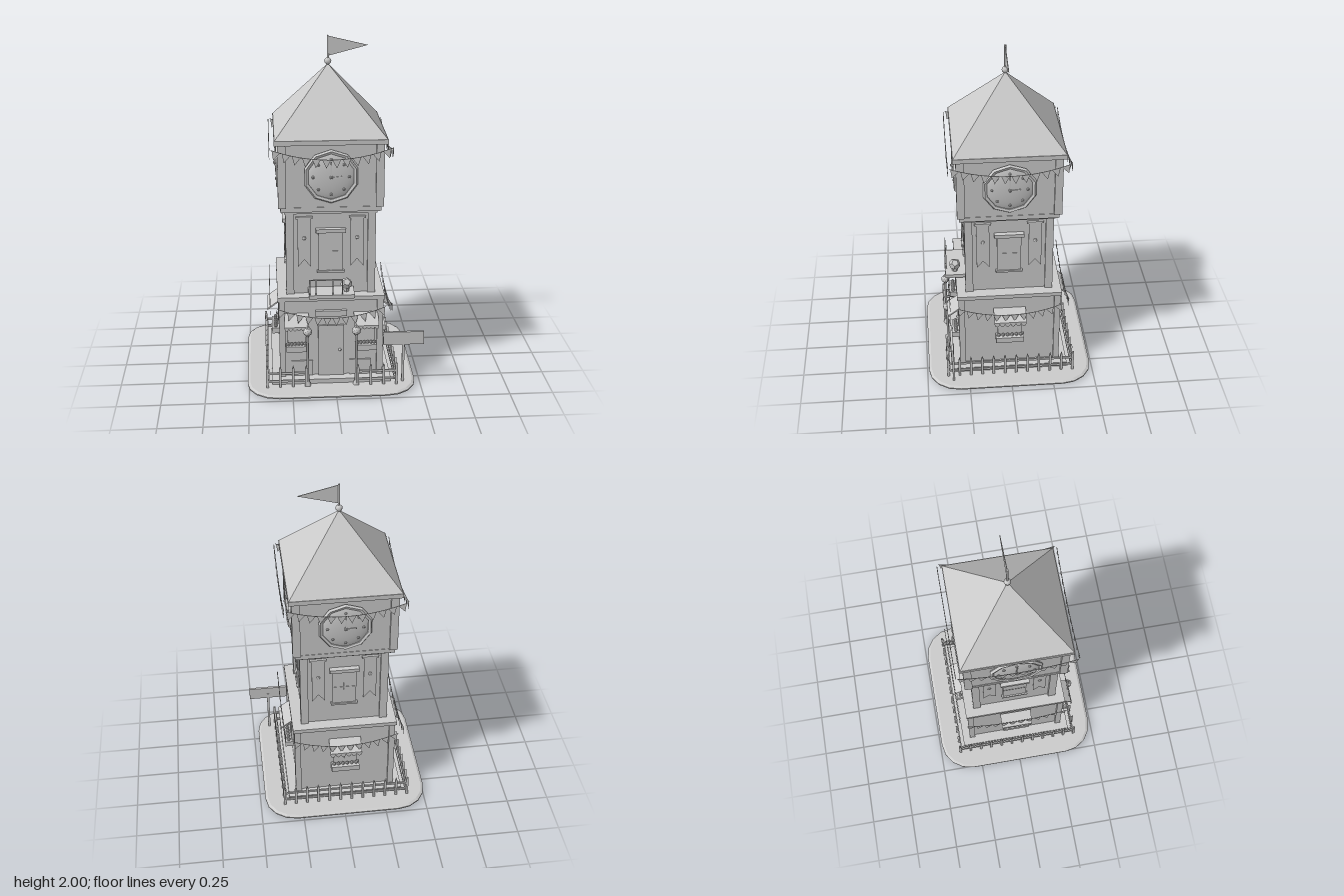
import * as THREE from 'three';

const stone = new THREE.MeshStandardMaterial({ color: 0xcccccc, side: THREE.DoubleSide });
stone.name = 'pale grey';

// Faceted copy of a geometry
function flat(geo) {
  const g = geo.index ? geo.toNonIndexed() : geo;
  g.computeVertexNormals();
  return g;
}
function add(parent, name, geo, x = 0, y = 0, z = 0) {
  const m = new THREE.Mesh(geo, stone);
  m.name = name;
  m.position.set(x, y, z);
  parent.add(m);
  return m;
}
// Box given by its bottom height y0 and top height y1
function box(parent, name, w, y0, y1, d, x = 0, z = 0) {
  return add(parent, name, new THREE.BoxGeometry(w, y1 - y0, d), x, (y0 + y1) / 2, z);
}
function group(parent, name) {
  const g = new THREE.Group();
  g.name = name;
  parent.add(g);
  return g;
}
function plate(points, depth = 0.004) {
  const s = new THREE.Shape(points.map(([x, y]) => new THREE.Vector2(x, y)));
  return new THREE.ExtrudeGeometry(s, { depth, bevelEnabled: false });
}

// One storey: core, corner posts
function storey(parent, name, half, post, y0, y1) {
  const g = group(parent, name);
  const core = 2 * half - 0.03;
  box(g, 'walls', core, y0, y1, core);
  for (const sx of [-1, 1]) for (const sz of [-1, 1])
    box(g, 'cornerPost', post, y0, y1, post, sx * (half - post / 2), sz * (half - post / 2));
  return g;
}

// Sagging string of triangular pennants
function bunting(parent, half, yEnd, sag, z, n) {
  const g = group(parent, 'bunting');
  const at = t => new THREE.Vector3(t * half, yEnd - sag * (1 - t * t), z);
  const pts = [];
  for (let i = 0; i <= 8; i++) pts.push(at(-1 + i / 4));
  add(g, 'string', new THREE.TubeGeometry(new THREE.CatmullRomCurve3(pts), 16, 0.002, 4));
  const w = half / n * 0.85;
  const tri = plate([[-w, 0], [0, -0.048], [w, 0]], 0.002);
  for (let i = 0; i < n; i++) {
    const t = -1 + (2 * i + 1) / n, p = at(t);
    add(g, 'pennant', tri, p.x, p.y, p.z).rotation.z = Math.atan(2 * sag * t / half);
  }
}

// Ground-floor window with awning and flower box
function shopWindow(parent, x, w) {
  const g = group(parent, 'shopWindow');
  g.position.set(x, 0, 0.29);
  box(g, 'windowPane', w * 0.75, 0.23, 0.42, 0.012, 0, 0.004);
  box(g, 'windowBar', 0.008, 0.25, 0.42, 0.018, 0, 0.004);
  box(g, 'flowerBox', w * 0.88, 0.225, 0.26, 0.05, 0, 0.025);
  for (let i = 0; i < 6; i++)
    add(g, 'flower', flat(new THREE.IcosahedronGeometry(0.012, 0)), (i - 2.5) * w * 0.14, 0.268, 0.028);
  const roof = plate([[0, 0.45], [0.075, 0.395], [0.075, 0.385], [0, 0.44]], w);
  add(g, 'awning', roof, w / 2, 0, 0).rotation.y = -Math.PI / 2;
  const scallop = new THREE.CircleGeometry(w / 12, 6, Math.PI, Math.PI);
  for (let i = 0; i < 6; i++)
    add(g, 'awningScallop', scallop, (i - 2.5) * w / 6, 0.39, 0.074).scale.y = 1.6;
}

// First-floor window and two hanging banners
function upperWall(parent) {
  const z = 0.24;
  box(parent, 'windowPane', 0.14, 0.69, 0.93, 0.016, 0, z + 0.004);
  box(parent, 'windowLintel', 0.17, 0.93, 0.952, 0.035, 0, z + 0.012);
  box(parent, 'windowSill', 0.155, 0.685, 0.697, 0.024, 0, z + 0.008);
  box(parent, 'windowBar', 0.006, 0.69, 0.93, 0.02, 0, z + 0.004);
  box(parent, 'windowBar', 0.14, 0.81, 0.816, 0.02, 0, z + 0.004);
  const cloth = plate([[-0.037, 1.015], [-0.037, 0.72], [0, 0.765], [0.037, 0.72], [0.037, 1.015]]);
  for (const s of [-1, 1]) {
    add(parent, 'banner', cloth, s * 0.15, 0, z + 0.006);
    box(parent, 'bannerRod', 0.095, 1.012, 1.024, 0.014, s * 0.15, z + 0.008);
    add(parent, 'bannerStud', flat(new THREE.IcosahedronGeometry(0.012, 0)), s * 0.15, 0.895, z + 0.01).scale.z = 0.6;
  }
}

// Domed clock face with faceted rim
function clock(parent) {
  const g = group(parent, 'clock');
  g.position.set(0, 1.27, 0.28);
  const dome = new THREE.SphereGeometry(0.14, 20, 8, 0, Math.PI * 2, 0, Math.PI / 2).rotateX(Math.PI / 2);
  add(g, 'clockFace', dome.scale(1, 1, 0.18));
  add(g, 'clockRim', flat(new THREE.TorusGeometry(0.142, 0.013, 5, 10)), 0, 0, 0.008).rotation.z = Math.PI / 10;
  for (let i = 0; i < 8; i++) {
    const a = i * Math.PI / 4;
    add(g, 'hourMark', flat(new THREE.IcosahedronGeometry(0.009, 0)), 0.1 * Math.cos(a), 0.1 * Math.sin(a), 0.018);
  }
  add(g, 'clockHub', flat(new THREE.IcosahedronGeometry(0.011, 0)), 0, 0, 0.026);
  box(g, 'minuteHand', 0.008, 0, 0.09, 0.004, 0, 0.027);
  const hour = box(g, 'hourHand', 0.06, -0.004, 0.004, 0.004, 0.03, 0.027);
  hour.rotation.z = 0.1;
}

// Picket fence run from x0 to x1 along the local front
function fence(parent, x0, x1, n) {
  const g = group(parent, 'fence');
  const z = 0.375, w = 0.007;
  for (const y of [0.05, 0.1]) box(g, 'fenceRail', x1 - x0, y, y + 0.013, 0.008, (x0 + x1) / 2, z - 0.008);
  const picket = plate([[-w, 0.02], [w, 0.02], [w, 0.135], [0, 0.158], [-w, 0.135]], 0.012);
  for (let i = 0; i < n; i++) add(g, 'picket', picket, x0 + (x1 - x0) * i / (n - 1), 0, z - 0.006);
}

export function createModel() {
  const model = new THREE.Group();
  const tower = group(model, 'tower');
  tower.position.x = -0.02;

  // Rounded ground slab
  const h = 0.475, r = 0.17, s = new THREE.Shape();
  for (let k = 0; k < 4; k++) for (let i = 0; i <= 4; i++) {
    const a = (k + i / 4) * Math.PI / 2, c = k * Math.PI / 2 + Math.PI / 4;
    const q = (h - r) * Math.SQRT2;
    const x = q * Math.cos(c) + r * Math.cos(a), y = q * Math.sin(c) + r * Math.sin(a);
    if (k + i === 0) s.moveTo(x, y); else s.lineTo(x, y);
  }
  const slab = new THREE.ExtrudeGeometry(s, { depth: 0.007, bevelThickness: 0.008, bevelSize: 0.015, bevelSegments: 1 });
  add(tower, 'ground', slab, 0, 0.008, 0).rotation.x = -Math.PI / 2;
  tower.getObjectByName('ground').position.y = 0.008;

  // Storeys and cornices
  storey(tower, 'groundFloor', 0.3, 0.035, 0.02, 0.53);
  box(tower, 'plinth', 0.69, 0.02, 0.05, 0.69);
  box(tower, 'lowerCornice', 0.615, 0.53, 0.555, 0.615);
  storey(tower, 'middleFloor', 0.255, 0.045, 0.555, 1.06);
  box(tower, 'middleCornice', 0.525, 1.045, 1.062, 0.525);
  box(tower, 'upperCornice', 0.565, 1.062, 1.09, 0.565);
  storey(tower, 'clockFloor', 0.295, 0.045, 1.09, 1.455);
  box(tower, 'eaves', 0.625, 1.455, 1.482, 0.625);

  // Pyramid roof, finial, flag
  const roof = new THREE.ConeGeometry(0.31 * Math.SQRT2, 0.36, 4).rotateY(Math.PI / 4);
  add(tower, 'roof', flat(roof), 0, 1.662, 0);
  add(tower, 'finial', new THREE.SphereGeometry(0.02, 8, 6), 0, 1.855, 0);
  add(tower, 'flagPole', new THREE.CylinderGeometry(0.006, 0.006, 0.15, 6), 0, 1.925, 0);
  add(tower, 'flag', plate([[0, 1.995], [0, 1.885], [0.22, 1.942]]), 0.004, 0, -0.002);

  // Details repeated on every side
  for (let k = 0; k < 4; k++) {
    const side = group(tower, ['front', 'left', 'back', 'right'][k] + 'Side');
    side.rotation.y = k * Math.PI / 2;
    clock(side);
    upperWall(side);
    bunting(side, 0.33, 1.44, 0.06, 0.338, 12);
    bunting(side, 0.31, 0.505, 0.065, 0.35, 12);
    if (k > 0) {
      shopWindow(side, 0, 0.19);
      fence(side, -0.375, 0.375, 12);
    } else {
      for (const sx of [-1, 1]) {
        shopWindow(side, sx * 0.2, 0.14);
        fence(side, sx < 0 ? -0.375 : 0.15, sx < 0 ? -0.15 : 0.375, 4);
      }
    }
  }

  // Front door
  box(tower, 'door', 0.15, 0.05, 0.37, 0.02, 0, 0.287);
  box(tower, 'doorLintel', 0.18, 0.43, 0.465, 0.025, 0, 0.292);
  for (const sx of [-1, 1]) box(tower, 'doorPanel', 0.125, 0.05, 0.145, 0.01, sx * 0.17, 0.288);
  add(tower, 'doorKnob', new THREE.SphereGeometry(0.009, 8, 6), 0.05, 0.215, 0.302);

  // Street lamps
  for (const sx of [-1, 1]) {
    const lamp = group(tower, 'lamp');
    lamp.position.set(sx * 0.14, 0, 0.365);
    const profile = [[0.018, 0.02], [0.018, 0.035], [0.008, 0.05], [0.006, 0.33], [0.016, 0.35]];
    add(lamp, 'lampPost', new THREE.LatheGeometry(profile.map(p => new THREE.Vector2(...p)), 8));
    add(lamp, 'lampGlobe', flat(new THREE.IcosahedronGeometry(0.026, 1)), 0, 0.367, 0);
    add(lamp, 'lampCap', flat(new THREE.ConeGeometry(0.014, 0.02, 6)), 0, 0.398, 0);
  }

  // Balcony with thin railing and a potted bush
  box(tower, 'balcony', 0.26, 0.57, 0.592, 0.125, 0, 0.305);
  for (const x of [-0.125, -0.09, 0.005, 0.06]) box(tower, 'railingPost', 0.006, 0.59, 0.685, 0.005, x, 0.36);
  box(tower, 'railingTop', 0.19, 0.68, 0.686, 0.005, -0.032, 0.36);
  const bush = add(tower, 'bush', flat(new THREE.DodecahedronGeometry(0.034, 0)), 0.085, 0.638, 0.31);
  bush.rotation.set(0.3, 0.4, 0.2);
  add(tower, 'bushPot', flat(new THREE.CylinderGeometry(0.022, 0.015, 0.03, 6)), 0.085, 0.605, 0.31);

  // Signpost
  box(tower, 'signPost', 0.014, 0.02, 0.3, 0.012, 0.415, 0.345);
  box(tower, 'signBoard', 0.235, 0.265, 0.345, 0.014, 0.415, 0.351);
  return model;
}
